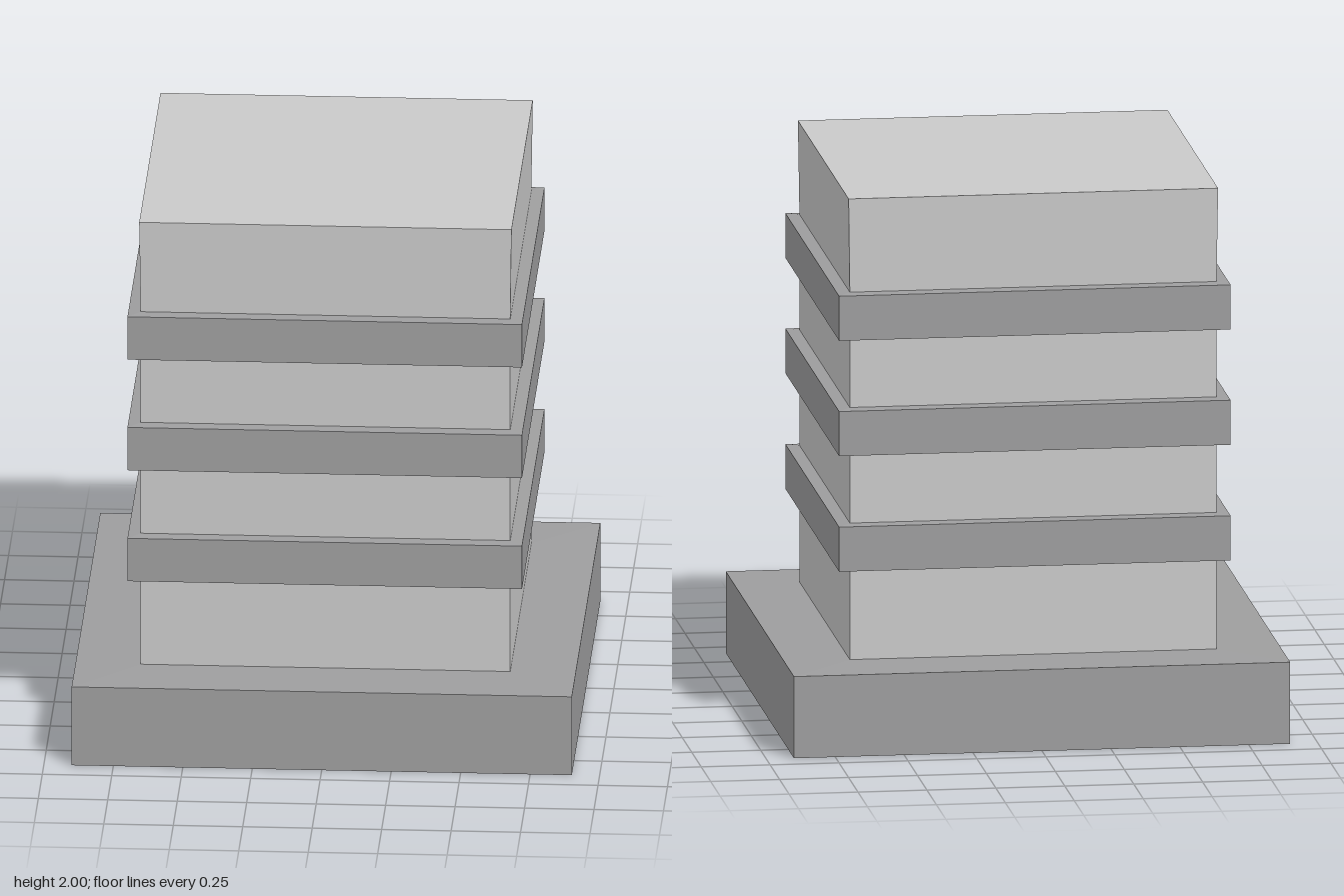
import * as THREE from 'three';

export function createModel() {
  const group = new THREE.Group();
  const side = THREE.DoubleSide; // hollow shell, open underneath
  const wallGrey = new THREE.MeshStandardMaterial({ color: 0xc9c9c9, side });
  wallGrey.name = 'light grey';
  const trimGrey = new THREE.MeshStandardMaterial({ color: 0x9d9d9e, side });
  trimGrey.name = 'mid grey';

  // Square ring swept around a profile of [half width, height] points, bottom to top
  function squareShell(name, profile, material) {
    const points = profile.map(([w, y]) => new THREE.Vector2(w * Math.SQRT2, y));
    const geometry = new THREE.LatheGeometry(points, 4, Math.PI / 4).toNonIndexed();
    geometry.computeVertexNormals();
    const mesh = new THREE.Mesh(geometry, material);
    mesh.name = name;
    group.add(mesh);
  }

  const wall = 0.665, band = 0.71, lip = 0.004;
  const bandHeight = 0.172, bandStarts = [0.635, 1.06, 1.484];

  // Base skirt with its nearly flat ledge
  squareShell('base', [[0.9, 0], [0.9, 0.3], [wall, 0.305]], trimGrey);

  // Wall storeys alternating with projecting bands
  let floor = 0.305;
  bandStarts.forEach((y) => {
    const top = y + bandHeight;
    squareShell('wall', [[wall, floor], [wall, y]], wallGrey);
    squareShell('band', [[wall, y], [band, y + lip], [band, top - lip], [wall, top]], trimGrey);
    floor = top;
  });

  // Top storey, flaring very slightly to the roof
  squareShell('topWall', [[wall, floor], [0.67, 2]], wallGrey);

  const roof = new THREE.Mesh(new THREE.PlaneGeometry(1.34, 1.34).rotateX(-Math.PI / 2), wallGrey);
  roof.position.y = 2;
  roof.name = 'roof';
  group.add(roof);

  return group;
}
